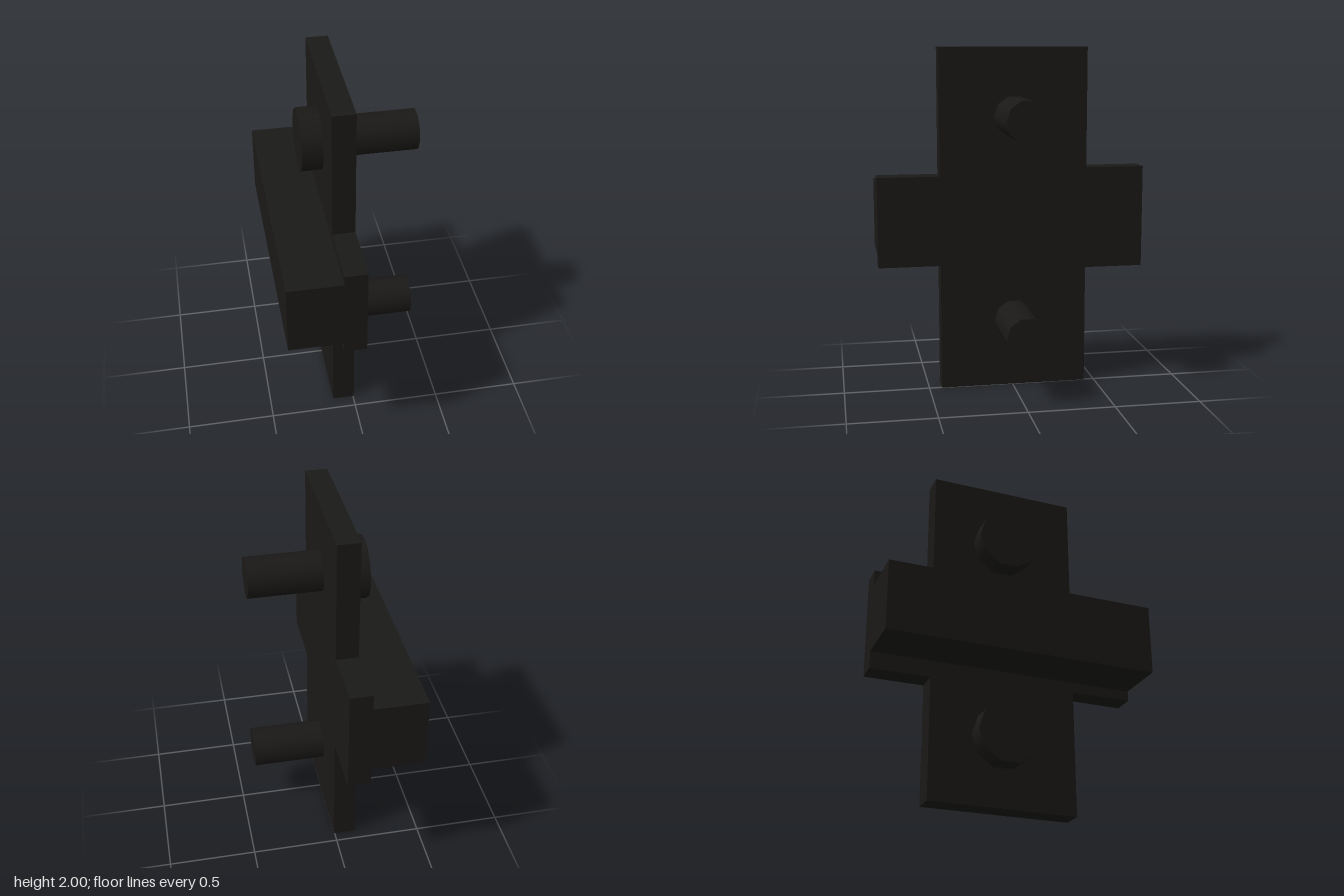
import * as THREE from 'three';

export function createModel() {
  const group = new THREE.Group();
  const material = new THREE.MeshStandardMaterial({ color: 0x1a1917 });

  const add = (name, geometry) => {
    const mesh = new THREE.Mesh(geometry, material);
    mesh.name = name;
    group.add(mesh);
    return mesh;
  };

  // Cross-shaped plate: outline drawn in (-z, y), extruded along x
  const outline = [
    [-0.425, 0], [0.44, 0], [0.44, 0.7], [0.785, 0.7], [0.785, 1.3], [0.44, 1.3],
    [0.44, 2], [-0.425, 2], [-0.425, 1.265], [-0.785, 1.265], [-0.785, 0.74], [-0.425, 0.74],
  ];
  const shape = new THREE.Shape(outline.map(([u, v]) => new THREE.Vector2(u, v)));
  const plate = new THREE.ExtrudeGeometry(shape, { depth: 0.127, bevelEnabled: false });
  plate.rotateY(Math.PI / 2).translate(-0.122, 0, 0);
  add('plate', plate);

  // Long bar across the rear face
  add('crossBar', new THREE.BoxGeometry(0.305, 0.41, 1.57)).position.set(-0.2725, 1.005, 0);

  // Cylinder lying along x between two positions
  const rod = (name, radius, x0, x1, y, z) => {
    const geometry = new THREE.CylinderGeometry(radius, radius, x1 - x0, 10);
    geometry.rotateZ(-Math.PI / 2);
    add(name, geometry).position.set((x0 + x1) / 2, y, z);
  };

  // A bolt near each end: wide head on one side, peg on the other
  for (const [label, y] of [['lower', 0.4], ['upper', 1.605]]) {
    rod(label + 'BoltHead', 0.182, -0.24, -0.11, y, -0.013);
    rod(label + 'Peg', 0.118, 0, 0.423, y, -0.01);
  }

  return group;
}
